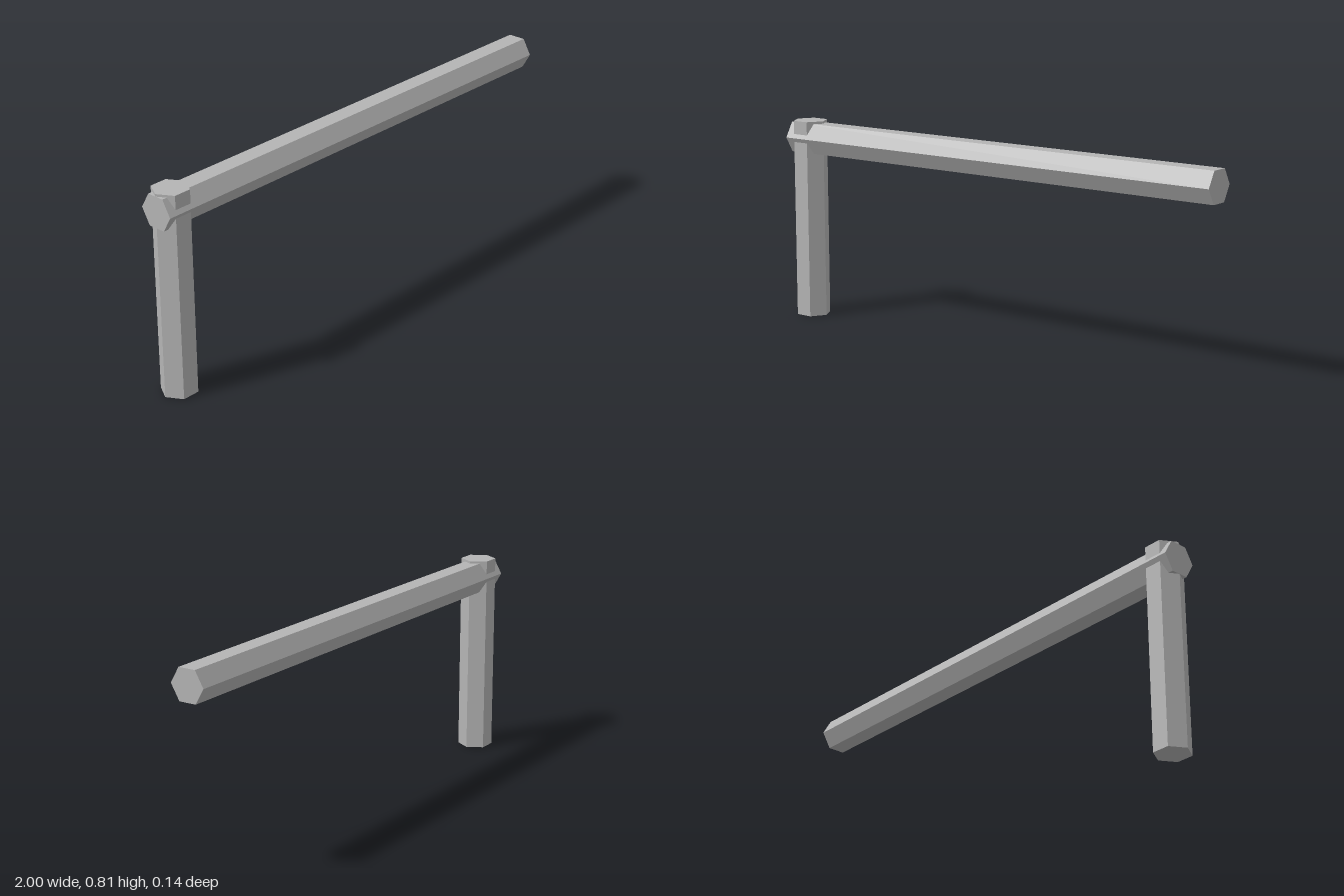
import * as THREE from 'three';

export function createModel() {
  const model = new THREE.Group();
  model.name = 'hexKey';
  const steel = new THREE.MeshStandardMaterial({ color: 0xb4b4b4 });
  steel.name = 'steelGrey';
  const radius = 0.07;

  // Hexagonal bar along y, with flat shaded sides
  function hexBar(name, length) {
    const geometry = new THREE.CylinderGeometry(radius, radius, length, 6).toNonIndexed();
    geometry.computeVertexNormals();
    const mesh = new THREE.Mesh(geometry, steel);
    mesh.name = name;
    model.add(mesh);
    return mesh;
  }

  // Long arm, corners pointing front and back
  const arm = hexBar('longArm', 2);
  arm.rotation.z = Math.PI / 2;
  arm.position.y = 0.735;

  // Short leg, corners pointing left and right, poking out above the arm
  const leg = hexBar('shortLeg', 0.805);
  leg.rotation.y = Math.PI / 6;
  leg.position.set(-0.93, 0.4025, 0);

  return model;
}
